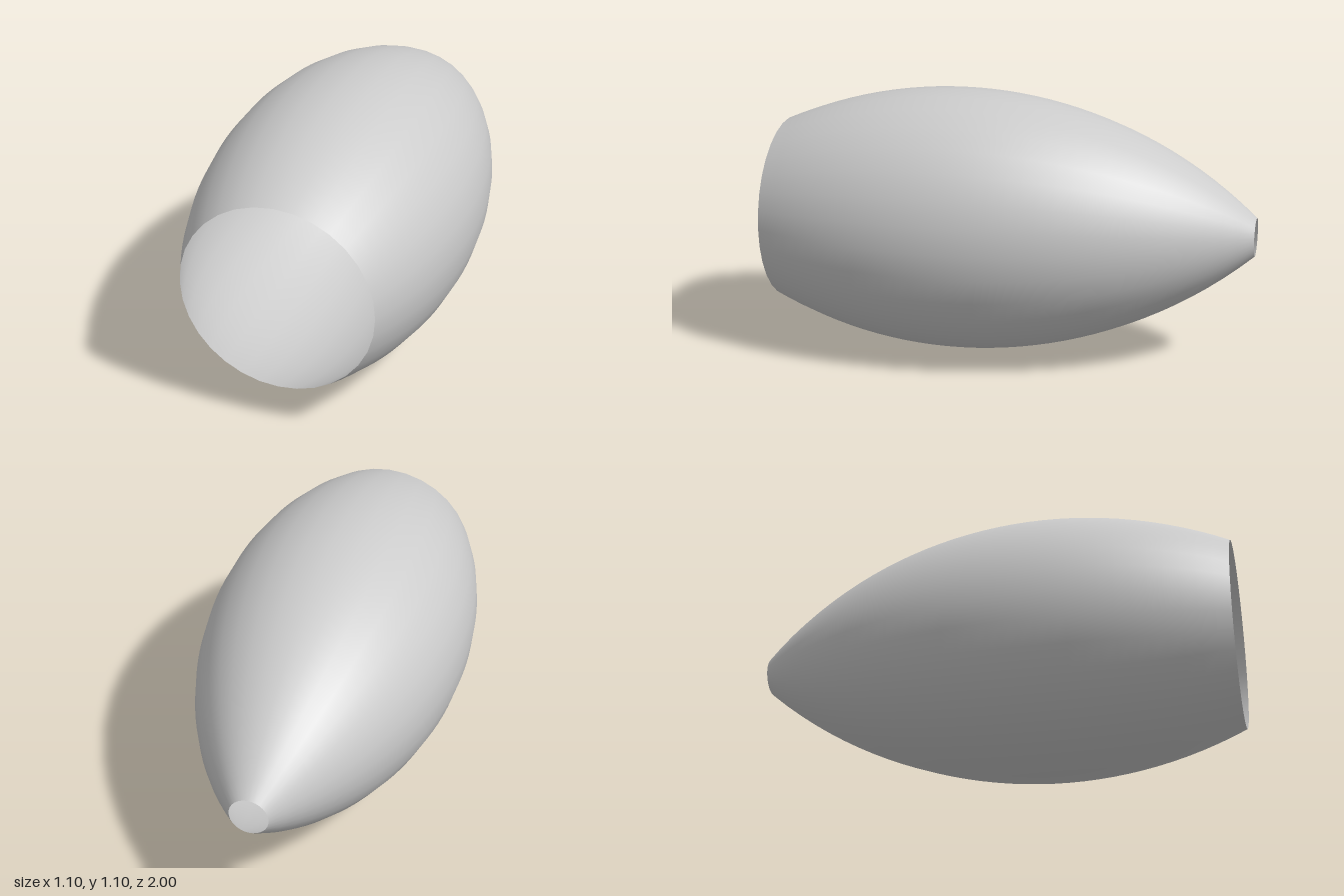
import * as THREE from 'three';

export function createModel() {
  const group = new THREE.Group();
  group.name = 'taperedShell';

  // Circular-arc profile: narrow opening at the back, wide opening at the front
  const maxRadius = 0.549, arcRadius = 1.87, widestAt = 0.24, steps = 32;
  const profile = [];
  for (let i = 0; i <= steps; i++) {
    const z = -1 + (2 * i) / steps;
    const drop = arcRadius - Math.sqrt(arcRadius ** 2 - (z - widestAt) ** 2);
    profile.push(new THREE.Vector2(maxRadius - drop, z));
  }

  // Thin open shell of revolution, laid along z
  const geometry = new THREE.LatheGeometry(profile, 32);
  geometry.rotateX(Math.PI / 2);
  const shell = new THREE.Mesh(
    geometry,
    new THREE.MeshStandardMaterial({ color: 0xcccccc, side: THREE.DoubleSide })
  );
  shell.name = 'shell';
  shell.position.y = 0.55;
  group.add(shell);
  return group;
}
